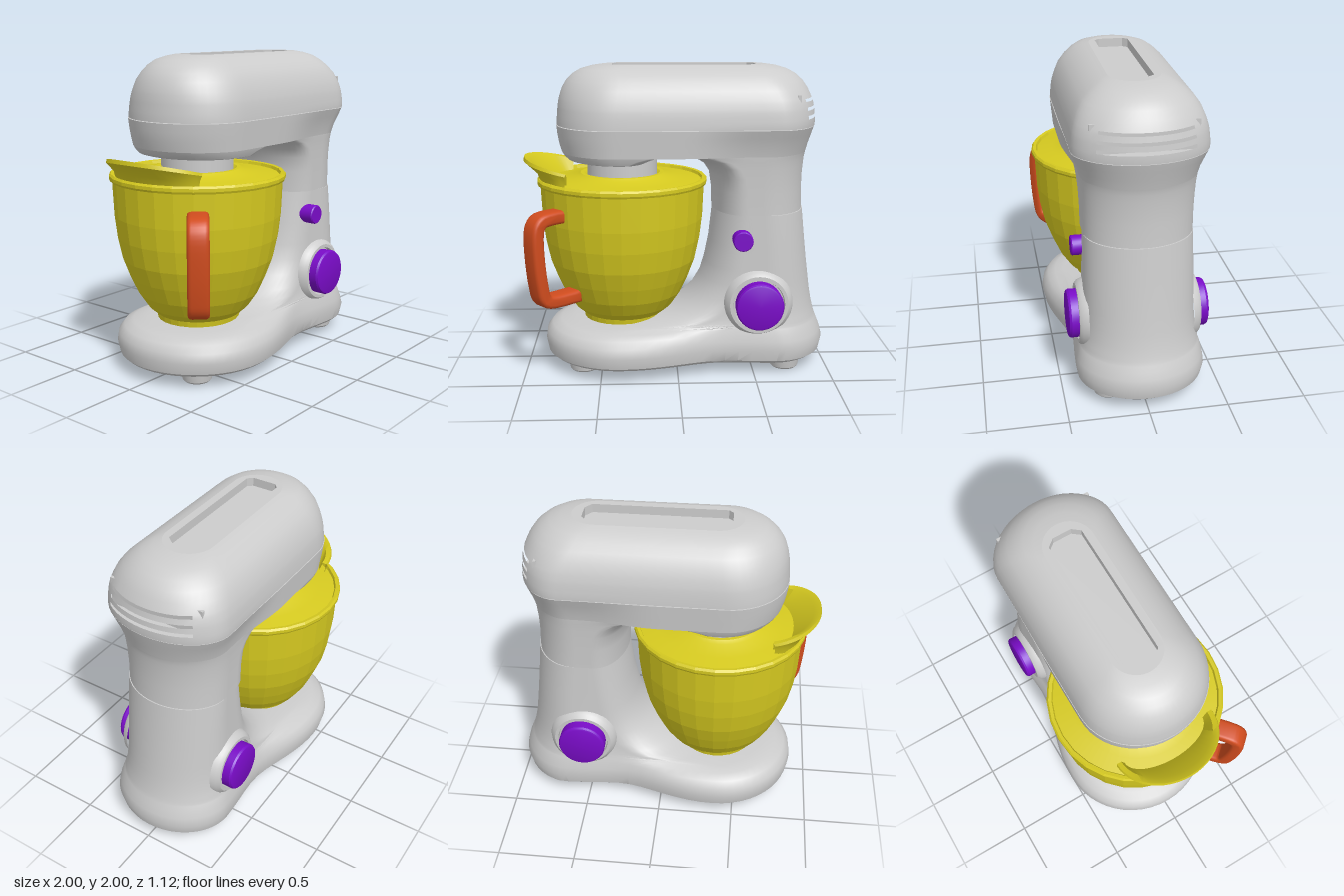
import * as THREE from 'three';
import { toCreasedNormals } from 'three/addons/utils/BufferGeometryUtils.js';

const mat = (name, color) => {
  const m = new THREE.MeshStandardMaterial({ color });
  m.name = name;
  return m;
};

const ARC = 24, STRAIGHT = 12;

// Outline of one horizontal section: elliptical ends, sides blending from front to rear width
function section([y, x0, x1, hwF, hwR, rf, rr], { from, to, waist = 0 }) {
  const k = Math.min(1, (x1 - x0) / (rf + rr) * 0.999);
  const f = rf * k, r = rr * k, pts = [];
  const width = x => THREE.MathUtils.lerp(hwF, hwR, THREE.MathUtils.smoothstep(x, from, to))
    - waist * Math.exp(-(((x - 0.28) / 0.24) ** 2));
  const add = (x, s) => pts.push([x, y, width(x) * s]);
  for (let i = 0; i < ARC; i++) {
    const t = (i / ARC - 0.5) * Math.PI;
    add(x1 - r + r * Math.cos(t), Math.sin(t));
  }
  for (let i = 0; i < STRAIGHT; i++) add(THREE.MathUtils.lerp(x1 - r, x0 + f, i / STRAIGHT), 1);
  for (let i = 0; i < ARC; i++) {
    const t = (i / ARC + 0.5) * Math.PI;
    add(x0 + f + f * Math.cos(t), Math.sin(t));
  }
  for (let i = 0; i < STRAIGHT; i++) add(THREE.MathUtils.lerp(x0 + f, x1 - r, i / STRAIGHT), -1);
  return pts;
}

// Skin a stack of sections; skip(i, j) leaves openings
function loft(levels, opt) {
  const rings = levels.map(l => section(l, opt));
  const n = rings[0].length, pos = rings.flat(2), idx = [];
  for (let j = 0; j < rings.length - 1; j++) for (let i = 0; i < n; i++) {
    if (opt.skip && opt.skip(i, j)) continue;
    const a = j * n + i, b = j * n + (i + 1) % n, c = a + n, d = b + n;
    idx.push(a, c, b, b, c, d);
  }
  const cap = (j, top) => {
    const l = levels[j], c = pos.length / 3;
    pos.push((l[1] + l[2]) / 2, l[0], 0);
    for (let i = 0; i < n; i++) {
      const a = j * n + i, b = j * n + (i + 1) % n;
      top ? idx.push(c, b, a) : idx.push(c, a, b);
    }
  };
  if (opt.bottom) cap(0, false);
  if (opt.top) cap(levels.length - 1, true);
  const g = new THREE.BufferGeometry();
  g.setAttribute('position', new THREE.Float32BufferAttribute(pos, 3));
  g.setIndex(idx);
  return toCreasedNormals(g, 0.6);
}

const lathe = (pts, seg = 40) =>
  toCreasedNormals(new THREE.LatheGeometry(pts.map(p => new THREE.Vector2(...p)), seg), 0.5);

// Pouring lip: a curved trough wall swept around the bowl edge
function spoutGeometry() {
  const pos = [], idx = [], N = 24;
  for (let i = 0; i <= N; i++) {
    const a = (i / N - 0.5) * Math.PI, c = Math.cos(a), s = Math.sin(a);
    const p = (x, w, e, y) => pos.push(x - e * c, y, w * s);
    p(-0.71, 0.32, 0.18, 1.24);
    p(-0.71, 0.33, 0.205, 1.29 + 0.02 * c);
    p(-0.71, 0.345, 0.29, 1.32 + 0.065 * c);
    p(-0.70, 0.34, 0.295, 1.335 + 0.075 * c);
    p(-0.70, 0.31, 0.25, 1.335 + 0.05 * c);
    p(-0.70, 0.28, 0.12, 1.24);
  }
  const M = 6;
  for (let i = 0; i < N; i++) for (let k = 0; k < M; k++) {
    const a = i * M + k, b = i * M + (k + 1) % M, c = a + M, d = b + M;
    idx.push(a, c, b, b, c, d);
  }
  const g = new THREE.BufferGeometry();
  g.setAttribute('position', new THREE.Float32BufferAttribute(pos, 3));
  g.setIndex(idx);
  return toCreasedNormals(g, 0.7);
}

// C-shaped grip: a planar curve thickened both ways, then bevelled
function handleGeometry() {
  const curve = new THREE.SplineCurve([[0.47, 1.075], [0.62, 1.075], [0.69, 1.055], [0.72, 0.98],
    [0.715, 0.8], [0.695, 0.64], [0.67, 0.56], [0.60, 0.535], [0.42, 0.535]].map(p => new THREE.Vector2(...p)));
  const outer = [], inner = [];
  for (let i = 0; i <= 36; i++) {
    const p = curve.getPoint(i / 36), t = curve.getTangent(i / 36);
    outer.push(new THREE.Vector2(p.x - t.y * 0.02, p.y + t.x * 0.02));
    inner.unshift(new THREE.Vector2(p.x + t.y * 0.02, p.y - t.x * 0.02));
  }
  const g = new THREE.ExtrudeGeometry(new THREE.Shape([...outer, ...inner]),
    { depth: 0.08, bevelThickness: 0.025, bevelSize: 0.022, bevelSegments: 3 });
  g.translate(0, 0, -0.04);
  return toCreasedNormals(g, 0.6);
}

export function createModel() {
  const root = new THREE.Group();
  const grey = mat('body grey', 0xcccccc), yellow = mat('bowl yellow', 0xd6ca20);
  const orange = mat('handle orange', 0xd04c1e), purple = mat('knob purple', 0x7a0cc8);
  yellow.side = THREE.DoubleSide;
  const add = (name, geo, m, x = 0, y = 0, z = 0) => {
    const mesh = new THREE.Mesh(geo, m);
    mesh.name = name;
    mesh.position.set(x, y, z);
    root.add(mesh);
    return mesh;
  };

  // Base sweeping up into the lower column: y, x front, x rear, half widths, end lengths
  add('base', loft([
    [0.08, -0.85, 0.96, 0.48, 0.38, 0.48, 0.34], [0.10, -0.872, 0.985, 0.505, 0.4, 0.5, 0.34],
    [0.17, -0.885, 1.0, 0.52, 0.412, 0.5, 0.34], [0.23, -0.876, 0.985, 0.508, 0.405, 0.49, 0.34],
    [0.275, -0.84, 0.967, 0.475, 0.393, 0.46, 0.33], [0.3, -0.78, 0.957, 0.425, 0.387, 0.42, 0.33],
    [0.312, -0.68, 0.952, 0.37, 0.383, 0.38, 0.33], [0.322, -0.4, 0.948, 0.34, 0.38, 0.35, 0.33],
    [0.34, -0.2, 0.942, 0.33, 0.376, 0.32, 0.32], [0.37, -0.09, 0.934, 0.33, 0.37, 0.3, 0.32],
    [0.42, 0.01, 0.922, 0.33, 0.363, 0.28, 0.31], [0.5, 0.1, 0.908, 0.34, 0.358, 0.25, 0.31],
    [0.6, 0.16, 0.895, 0.345, 0.355, 0.23, 0.3], [0.7, 0.19, 0.882, 0.345, 0.352, 0.21, 0.29],
    [0.85, 0.22, 0.865, 0.345, 0.349, 0.2, 0.28], [1.06, 0.243, 0.843, 0.345, 0.345, 0.2, 0.28],
  ], { from: -0.35, to: 0.3, waist: 0.025, bottom: true, top: true }), grey);

  // Upper column, flaring forward under the head
  add('neck', loft([
    [1.062, 0.24, 0.838, 0.341, 0.341, 0.2, 0.28], [1.2, 0.235, 0.833, 0.343, 0.343, 0.2, 0.28],
    [1.3, 0.22, 0.835, 0.347, 0.347, 0.2, 0.28], [1.36, 0.18, 0.84, 0.35, 0.35, 0.2, 0.28],
    [1.4, 0.12, 0.844, 0.353, 0.353, 0.2, 0.28], [1.428, 0.03, 0.849, 0.36, 0.356, 0.2, 0.28],
    [1.442, -0.07, 0.853, 0.37, 0.357, 0.2, 0.28],
  ], { from: 0, to: 0.45 }), grey);

  // Head: drop-down front, lower shell and upper shell
  const blend = { from: 0, to: 0.5 };
  add('headFrontUnderside', loft([
    [1.388, -0.685, -0.19, 0.36, 0.36, 0.32, 0.14], [1.395, -0.71, -0.165, 0.385, 0.385, 0.34, 0.14],
    [1.42, -0.735, -0.11, 0.398, 0.395, 0.36, 0.14], [1.442, -0.748, -0.03, 0.405, 0.4, 0.37, 0.14],
  ], { ...blend, bottom: true }), grey);
  add('headLowerShell', loft([
    [1.44, -0.748, 0.852, 0.405, 0.357, 0.37, 0.28], [1.5, -0.765, 0.868, 0.41, 0.37, 0.38, 0.28],
    [1.56, -0.775, 0.888, 0.415, 0.392, 0.38, 0.28], [1.612, -0.78, 0.903, 0.419, 0.412, 0.38, 0.28],
  ], { ...blend, bottom: true, top: true }), grey);
  const ventRows = [2, 4, 6];
  const rim = [2.0, -0.48, 0.58, 0.16, 0.16, 0.16, 0.16];
  add('headUpperShell', loft([
    [1.616, -0.777, 0.905, 0.416, 0.412, 0.38, 0.28], [1.64, -0.777, 0.907, 0.415, 0.413, 0.38, 0.28],
    [1.668, -0.775, 0.906, 0.412, 0.41, 0.38, 0.28], [1.69, -0.773, 0.904, 0.41, 0.408, 0.38, 0.28],
    [1.722, -0.77, 0.9, 0.405, 0.404, 0.38, 0.28], [1.742, -0.768, 0.897, 0.401, 0.4, 0.38, 0.28],
    [1.776, -0.762, 0.889, 0.391, 0.391, 0.38, 0.28], [1.794, -0.758, 0.882, 0.385, 0.385, 0.38, 0.28],
    [1.85, -0.74, 0.855, 0.363, 0.363, 0.37, 0.28], [1.9, -0.71, 0.82, 0.328, 0.328, 0.35, 0.28],
    [1.94, -0.67, 0.775, 0.285, 0.285, 0.3, 0.26], [1.97, -0.62, 0.72, 0.24, 0.24, 0.24, 0.22],
    [1.99, -0.55, 0.65, 0.195, 0.195, 0.2, 0.2], rim,
  ], { ...blend, skip: (i, j) => ventRows.includes(j) && i >= 6 && i < 18 }), grey);
  add('ventBacking', new THREE.BoxGeometry(0.02, 0.18, 0.64), grey, 0.76, 1.73, 0);

  // Top plate with a sunken tray
  const plate = new THREE.Shape(section(rim, blend).map(p => new THREE.Vector2(p[0], -p[2])));
  plate.holes.push(new THREE.Path([[-0.41, -0.08], [-0.38, -0.11], [0.47, -0.11], [0.51, -0.06],
    [0.51, 0.06], [0.47, 0.11], [-0.38, 0.11], [-0.41, 0.08]].map(p => new THREE.Vector2(...p))));
  const plateGeo = new THREE.ExtrudeGeometry(plate, { depth: 0.06, bevelEnabled: false });
  plateGeo.rotateX(-Math.PI / 2);
  add('topPlate', plateGeo, grey, 0, 1.94, 0);
  add('trayFloor', new THREE.BoxGeometry(0.96, 0.008, 0.25), grey, 0.05, 1.94, 0);

  // Mixer hub, bowl and lid
  const cx = -0.355;
  add('hub', new THREE.CylinderGeometry(0.23, 0.23, 0.13, 32), grey, cx, 1.34, 0);
  const bowl = new THREE.LatheGeometry([[0, 0.31], [0.265, 0.31], [0.272, 0.35], [0.33, 0.4], [0.39, 0.49],
    [0.44, 0.6], [0.485, 0.72], [0.515, 0.86], [0.532, 1.0], [0.542, 1.22], [0.555, 1.222], [0.561, 1.235],
    [0.561, 1.255], [0.55, 1.268], [0.53, 1.265], [0.52, 1.24]].map(p => new THREE.Vector2(...p)), 28).toNonIndexed();
  bowl.computeVertexNormals();
  add('bowl', bowl, yellow, cx);
  add('lid', lathe([[0.53, 1.245], [0.42, 1.262], [0.3, 1.28], [0.275, 1.296], [0.25, 1.296], [0.23, 1.28]]), yellow, cx);
  add('spout', spoutGeometry(), yellow);
  add('handle', handleGeometry(), orange, cx).rotation.y = -Math.PI + 0.72;

  // Control knobs on both sides with raised collars, and one button on the front
  for (const s of [1, -1]) {
    add('knobCollar', lathe([[0.225, 0], [0.212, 0.035], [0.19, 0.055], [0.168, 0.055], [0.163, 0.03], [0, 0.03]]),
      grey, 0.525, 0.48, s * 0.33).rotation.x = s * Math.PI / 2;
    add('knob', lathe([[0.153, 0], [0.155, 0.075], [0.148, 0.088], [0.138, 0.092], [0, 0.092]]),
      purple, 0.525, 0.48, s * 0.355).rotation.x = s * Math.PI / 2;
  }
  add('button', lathe([[0.064, 0], [0.064, 0.1], [0.058, 0.107], [0, 0.107]], 24),
    purple, 0.415, 0.905, 0.293).rotation.x = Math.PI / 2;

  // Feet
  for (const x of [-0.62, 0.72]) for (const z of [-0.215, 0.215])
    add('foot', lathe([[0, 0], [0.08, 0], [0.092, 0.012], [0.106, 0.09], [0, 0.09]], 24), grey, x, 0, z);

  return root;
}
